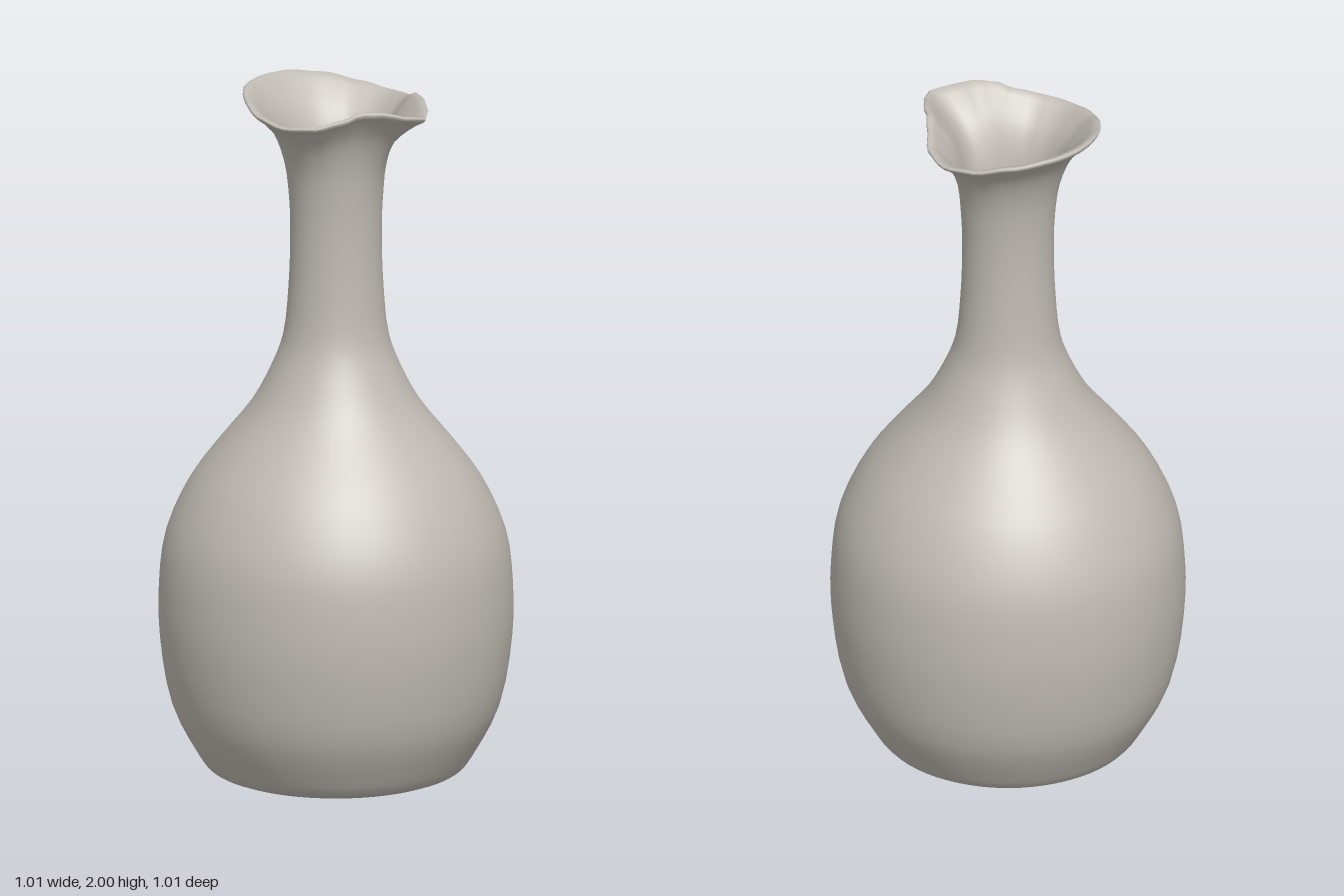
import * as THREE from 'three';
import { mergeVertices } from 'three/addons/utils/BufferGeometryUtils.js';

const RIM_R = 0.265, RIM_Y = 1.97;

// Rim keys: angle from the front in degrees, radius, height
const RIM = [
  [0, 0.315, 1.965], [10, 0.288, 1.975], [22, 0.258, 1.99], [36, 0.232, 1.99],
  [50, 0.228, 1.968], [70, 0.247, 1.95], [90, 0.26, 1.945], [110, 0.262, 1.958],
  [135, 0.262, 1.982], [160, 0.268, 1.996], [180, 0.27, 1.998],
];

// Smoothly interpolated rim at an angle, mirrored left to right
function rimAt(angle) {
  const d = Math.abs(THREE.MathUtils.radToDeg(angle));
  let i = 0;
  while (i < RIM.length - 2 && d > RIM[i + 1][0]) i++;
  const t = THREE.MathUtils.smoothstep(d, RIM[i][0], RIM[i + 1][0]);
  return [1, 2].map((k) => THREE.MathUtils.lerp(RIM[i][k], RIM[i + 1][k], t));
}

const spline = (pts, n) => new THREE.CatmullRomCurve3(
  pts.map(([r, y]) => new THREE.Vector3(r, y, 0)), false, 'centripetal'
).getPoints(n).map((p) => new THREE.Vector2(p.x, p.y));

// Wall profile: up the outside, over the lip and down the inside
function wallProfile() {
  const outside = spline([
    [0.33, 0.004], [0.365, 0.02], [0.4, 0.07], [0.465, 0.2], [0.5, 0.4], [0.502, 0.55],
    [0.482, 0.7], [0.415, 0.85], [0.335, 0.96], [0.24, 1.08], [0.182, 1.19], [0.15, 1.28],
    [0.135, 1.42], [0.13, 1.56], [0.133, 1.68], [0.148, 1.79], [0.185, 1.88],
    [0.24, 1.94], [0.262, 1.957], [0.265, 1.966], [0.258, 1.97],
  ], 60);
  const inside = spline([
    [0.245, 1.966], [0.215, 1.94], [0.162, 1.88], [0.124, 1.79], [0.108, 1.68], [0.105, 1.56],
    [0.11, 1.42], [0.125, 1.28], [0.157, 1.19], [0.215, 1.08], [0.39, 0.85],
    [0.455, 0.7], [0.475, 0.5], [0.44, 0.2], [0.36, 0.06], [0.3, 0.035],
  ], 44);
  return [
    new THREE.Vector2(0, 0), new THREE.Vector2(0.3, 0), ...outside,
    ...inside, new THREE.Vector2(0, 0.03),
  ];
}

// Turn the profile, then pull the flared mouth into a wavy rim with a spout
function vesselGeometry() {
  let geo = new THREE.LatheGeometry(wallProfile(), 64);
  const pos = geo.attributes.position;
  for (let i = 0; i < pos.count; i++) {
    const x = pos.getX(i), y = pos.getY(i), z = pos.getZ(i);
    const w = THREE.MathUtils.clamp((y - 1.68) / (RIM_Y - 1.68), 0, 1) ** 1.6;
    if (w === 0) continue;
    const [r, h] = rimAt(Math.atan2(x, z));
    const s = 1 + (r / RIM_R - 1) * w;
    pos.setXYZ(i, x * s, y + (h - RIM_Y) * w, z * s);
  }
  geo.deleteAttribute('uv');
  geo.deleteAttribute('normal');
  geo = mergeVertices(geo, 1e-5);
  geo.computeVertexNormals();
  return geo;
}

export function createModel() {
  const model = new THREE.Group();
  model.name = 'pouringVase';
  const clay = new THREE.MeshStandardMaterial({ color: 0xbfbab2 });
  clay.name = 'paleClay';
  const vessel = new THREE.Mesh(vesselGeometry(), clay);
  vessel.name = 'vessel';
  model.add(vessel);
  return model;
}
